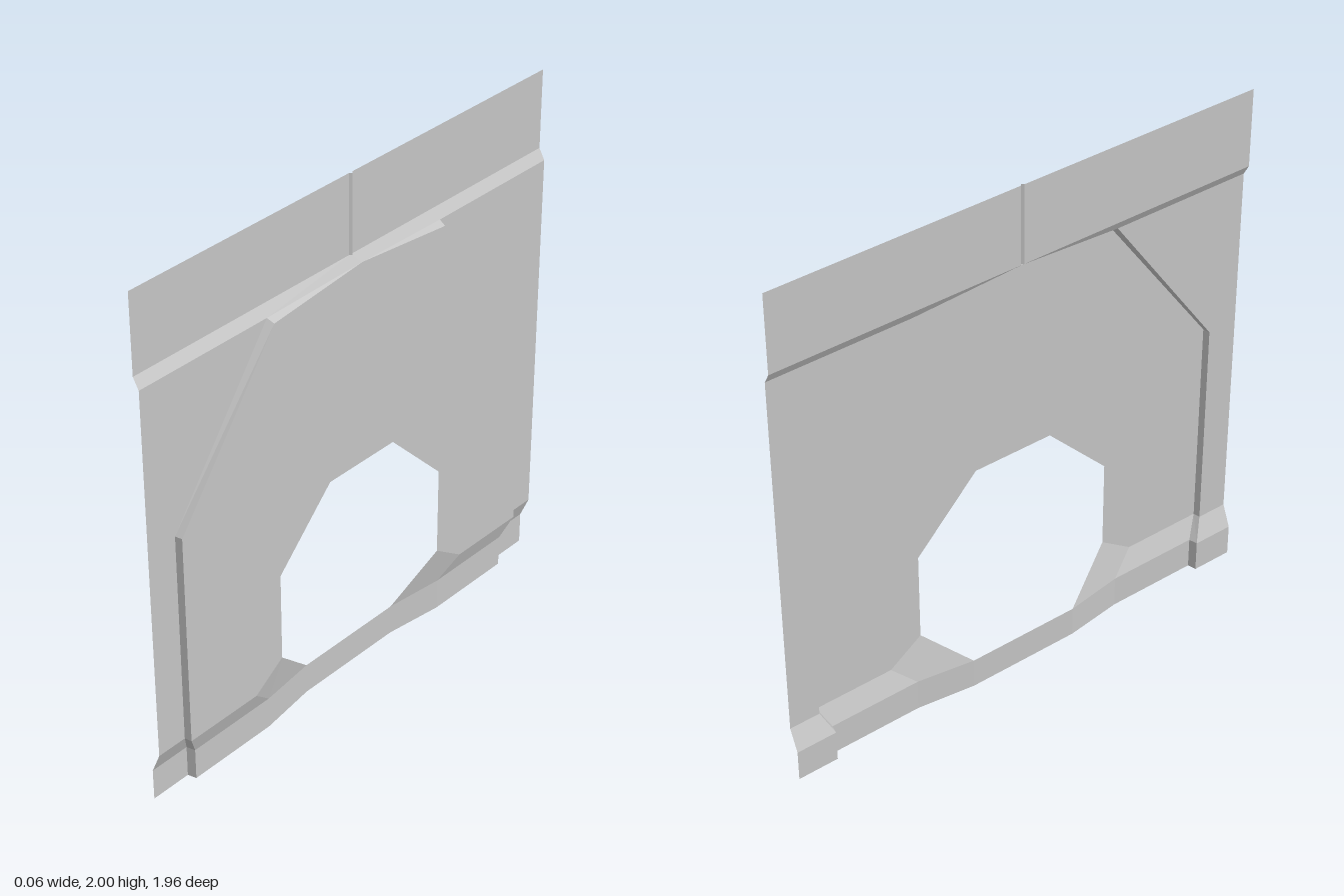
import * as THREE from 'three';

const sheetMetal = new THREE.MeshStandardMaterial({ color: 0xc4c4c4, side: THREE.DoubleSide });
sheetMetal.name = 'greySheet';

// Builds one face from [z, y, x] corners, with its mirror image across z = 0.
function addFace(positions, corners) {
  const outline = corners.map(([z, y]) => new THREE.Vector2(z, y));
  const flip = THREE.ShapeUtils.isClockWise(outline);
  for (const tri of THREE.ShapeUtils.triangulateShape(outline, [])) {
    const order = flip ? [...tri].reverse() : tri;
    for (const i of [...order].reverse()) {
      const [z, y, x] = corners[i];
      positions.push(x, y, z);
    }
    for (const i of order) {
      const [z, y, x] = corners[i];
      positions.push(x, y, -z);
    }
  }
}

function part(name, faces) {
  const positions = [];
  faces.forEach((f) => addFace(positions, f));
  const geometry = new THREE.BufferGeometry();
  geometry.setAttribute('position', new THREE.Float32BufferAttribute(positions, 3));
  geometry.computeVertexNormals();
  const mesh = new THREE.Mesh(geometry, sheetMetal);
  mesh.name = name;
  return mesh;
}

export function createModel() {
  const group = new THREE.Group();
  group.name = 'pressedPanel';
  const P = 0.03, O = 0.003, T = -0.02, L = -0.033, W = 0.98;

  // Step between the raised panel and the surrounding sheet
  const outer = [[0, 1.7, T], [0.42, 1.66, O], [0.86, 1.05, O], [0.86, 0.21, O], [0.82, 0.125, L], [0.82, 0, L]];
  const inner = [[0, 1.69, P], [0.415, 1.648, P], [0.855, 1.05, P], [0.855, 0.21, P], [0.812, 0.125, 0], [0.812, 0, 0]];
  const steps = outer.slice(1).map((p, i) => [outer[i], p, inner[i + 1], inner[i]]);
  group.add(part('stepWall', steps));

  // Raised panel around the octagonal opening
  group.add(part('raisedPanel', [[
    ...inner.slice(0, 4), [0.54, 0.21, P], [0.41, 0.3, P], [0.41, 0.65, P], [0.16, 0.905, P], [0, 0.905, P],
  ]]));

  // Bends and flange below the raised panel
  const bendTop = [0.54, 0.21, P], bendLow = [0.45, 0.125, 0], holeLow = [0.225, 0.12, -0.03];
  group.add(part('panelBend', [
    [inner[3], inner[4], bendLow, bendTop],
    [bendTop, bendLow, holeLow, [0.41, 0.3, P]],
  ]));
  group.add(part('panelFlange', [
    [inner[4], inner[5], [0.45, 0, 0], bendLow],
    [bendLow, [0.45, 0, 0], [0.225, 0, -0.03], holeLow],
    [holeLow, [0.225, 0, -0.03], [0, 0, -0.03], [0, 0.12, -0.03]],
  ]));

  // Outer sheet: sides, lower bend and lower flange
  group.add(part('outerSheet', [
    [outer[1], [W, 1.66, O], [W, 0.21, O], outer[3], outer[2]],
    [outer[3], [W, 0.21, O], [W, 0.125, L], outer[4]],
    [outer[4], [W, 0.125, L], [W, 0, L], outer[5]],
  ]));

  // Top flange with its sloped shoulder and centre seam
  group.add(part('topShoulder', [[outer[0], [W, 1.7, T], [W, 1.66, O], outer[1]]]));
  group.add(part('topFlange', [[[0.008, 2, T], [W, 2, T], [W, 1.7, T], [0.008, 1.7, T]]]));
  group.add(part('centreSeam', [[[0, 2, -0.013], [0.008, 2, T], [0.008, 1.7, T], [0, 1.7, -0.013]]]));

  return group;
}
